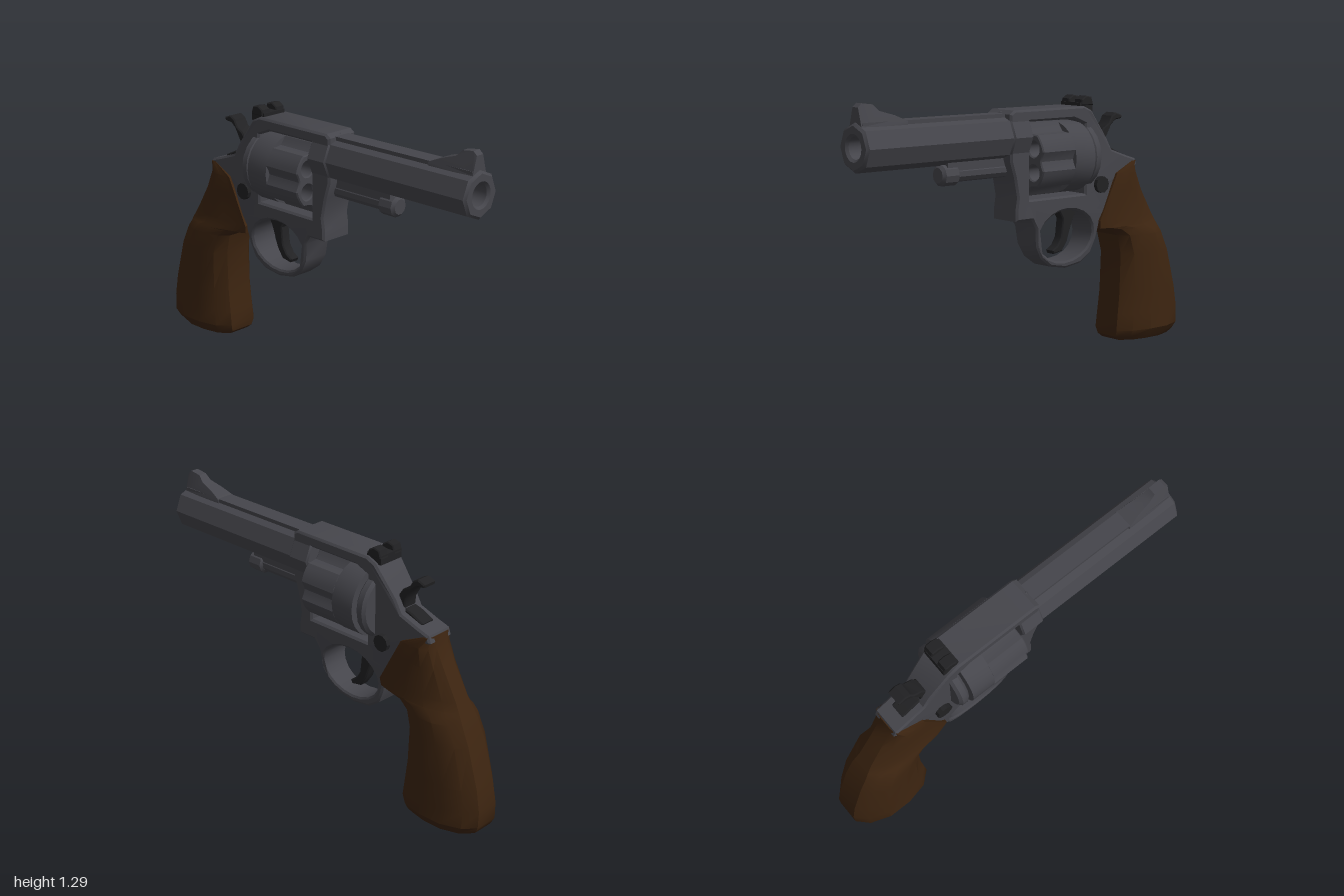
import * as THREE from 'three';
import { toCreasedNormals } from 'three/addons/utils/BufferGeometryUtils.js';

const mat = (name, color) => {
  const m = new THREE.MeshStandardMaterial({ color });
  m.name = name;
  return m;
};

export function createModel() {
  const group = new THREE.Group();
  const steel = mat('gunmetal', 0x45454b);
  const dark = mat('blackened steel', 0x212123);
  const wood = mat('dark walnut', 0x3c2410);

  const add = (name, geo, material) => {
    const mesh = new THREE.Mesh(toCreasedNormals(geo, 0.55), material);
    mesh.name = name;
    group.add(mesh);
    return mesh;
  };
  const shapeOf = (pts) => new THREE.Shape(pts.map(([a, b]) => new THREE.Vector2(a, b)));
  const circlePath = (x, y, r) => new THREE.Path().absarc(x, y, r, 0, Math.PI * 2, true);

  // Side profile in (z, y), extruded symmetrically across x
  const sideways = (shape, half, bevel, curveSegments = 10) => {
    const geo = new THREE.ExtrudeGeometry(shape, {
      depth: 2 * (half - bevel), curveSegments, bevelEnabled: bevel > 0,
      bevelSize: bevel, bevelThickness: bevel, bevelOffset: -bevel, bevelSegments: 1,
    });
    return geo.translate(0, 0, bevel - half).rotateY(-Math.PI / 2);
  };
  // Front profile in (x, y), extruded from z0 (back) to z1 (front)
  const lengthways = (shape, z0, z1, bevel) => {
    const geo = new THREE.ExtrudeGeometry(shape, {
      depth: z1 - z0 - 2 * bevel, curveSegments: 10, bevelEnabled: bevel > 0,
      bevelSize: bevel, bevelThickness: bevel, bevelOffset: -bevel, bevelSegments: 1,
    });
    return geo.translate(0, 0, z0 + bevel);
  };
  // Scale x by a rule of height and depth
  const taperX = (geo, rule) => {
    const p = geo.attributes.position;
    for (let i = 0; i < p.count; i++) p.setX(i, p.getX(i) * rule(p.getY(i), p.getZ(i)));
    return geo;
  };
  const box = (x0, x1, y0, y1, z0, z1) =>
    new THREE.BoxGeometry(x1 - x0, y1 - y0, z1 - z0)
      .translate((x0 + x1) / 2, (y0 + y1) / 2, (z0 + z1) / 2);
  const rod = (rFront, rBack, y, z0, z1, sides) =>
    new THREE.CylinderGeometry(rFront, rBack, z1 - z0, sides)
      .rotateX(Math.PI / 2).translate(0, y, (z0 + z1) / 2);
  const polygon = (y, r, sides) => shapeOf(Array.from({ length: sides }, (_, i) => {
    const a = (i / sides) * Math.PI * 2;
    return [Math.cos(a) * r, y + Math.sin(a) * r];
  }));

  // Octagonal barrel with bore and top rib
  const barrel = polygon(1.09, 0.113, 8);
  barrel.holes.push(circlePath(0, 1.09, 0.052));
  add('barrel', lengthways(barrel, 0.1, 1, 0.012), steel);
  add('borePlug', rod(0.056, 0.056, 1.09, 0.1, 0.9, 16), steel);
  add('barrelRib', box(-0.045, 0.045, 1.15, 1.203, 0.1, 0.98), steel);
  add('barrelCollar', lengthways(polygon(1.09, 0.121, 8), 0.045, 0.165, 0.008), steel);

  // Front sight, wide at its foot
  const sight = shapeOf([[0.985, 1.17], [0.985, 1.27], [0.965, 1.288], [0.905, 1.28],
    [0.875, 1.25], [0.8, 1.228], [0.735, 1.2], [0.735, 1.17]]);
  add('frontSight', taperX(sideways(sight, 0.05, 0),
    (y) => THREE.MathUtils.clamp(1 - (y - 1.2) / 0.11, 0.42, 1)), steel);

  // Frame with trigger guard, cylinder window and guard opening
  const frame = shapeOf([[0.165, 1.2], [0.14, 1.218], [-0.31, 1.218], [-0.36, 1.195],
    [-0.475, 1.05], [-0.51, 0.99], [-0.61, 0.955], [-0.675, 0.935], [-0.688, 0.9],
    [-0.6, 0.85], [-0.5, 0.68], [-0.42, 0.62], [-0.405, 0.55], [-0.375, 0.48],
    [-0.31, 0.435], [-0.21, 0.42], [-0.11, 0.438], [-0.045, 0.485], [-0.01, 0.55],
    [0, 0.64], [0.03, 0.685], [0.13, 0.685], [0.13, 0.74], [0.12, 0.8], [0.14, 0.9], [0.165, 0.98]]);
  frame.holes.push(
    new THREE.Path([[0.045, 0.785], [0.045, 1.16], [-0.24, 1.16], [-0.315, 1.13], [-0.315, 0.785]]
      .map(([a, b]) => new THREE.Vector2(a, b))),
    new THREE.Path().absellipse(-0.2, 0.585, 0.177, 0.13, 0, Math.PI * 2, true));
  add('frame', taperX(sideways(frame, 0.09, 0.01), (y, z) =>
    y < 0.69 ? THREE.MathUtils.clamp(1 - (0.69 - y) * 1.1, 0.7, 1)
      : z < -0.4 ? 0.86 : 1), steel);

  // Cylinder: fluted, chambered front and plain rear
  const cy = 0.972, R = 0.178;
  const outline = [];
  for (let i = 0; i < 48; i++) {
    const a = (i / 48) * Math.PI * 2;
    const off = Math.abs(((i + 4) % 8) - 4);
    const r = R - [0.026, 0.018, 0, 0, 0][off];
    outline.push([Math.cos(a) * r, cy + Math.sin(a) * r]);
  }
  const fluted = shapeOf(outline);
  for (let i = 0; i < 6; i++) {
    const a = (i + 0.5) * Math.PI / 3;
    fluted.holes.push(circlePath(Math.cos(a) * 0.115, cy + Math.sin(a) * 0.115, 0.038));
  }
  add('cylinderFront', lengthways(fluted, -0.18, 0.033, 0.006), steel);
  add('cylinderRear', rod(R, R, cy, -0.3, -0.174, 24), steel);
  add('cylinderAxle', rod(0.05, 0.05, cy, -0.32, 0.06, 12), steel);
  add('recoilShield', lengthways(polygon(cy, 0.167, 20), -0.365, -0.308, 0.014), steel);

  // Ejector rod below the barrel
  add('ejectorShroud', box(-0.035, 0.035, 0.94, 1.0, 0.1, 0.5), steel);
  add('ejectorRod', rod(0.04, 0.04, 0.935, 0.1, 0.44, 10), steel);
  add('ejectorTip', lengthways(polygon(0.932, 0.052, 10), 0.43, 0.533, 0.014), steel);

  // Rear sight with a notch
  add('rearSightBase', box(-0.07, 0.07, 1.19, 1.235, -0.38, -0.295), dark);
  for (const s of [-1, 1]) {
    const leaf = shapeOf([[-0.3, 1.22], [-0.305, 1.25], [-0.335, 1.267], [-0.37, 1.26], [-0.382, 1.22]]);
    add('rearSightLeaf', sideways(leaf, 0.028, 0.005).translate(s * 0.047, 0, 0), dark);
  }

  // Hammer and trigger
  const hammer = shapeOf([[-0.44, 1.03], [-0.487, 1.098], [-0.525, 1.12], [-0.545, 1.155],
    [-0.575, 1.17], [-0.615, 1.155], [-0.612, 1.14], [-0.57, 1.135], [-0.54, 1.11], [-0.505, 1.05],
    [-0.5, 1.005], [-0.54, 0.995], [-0.61, 0.962], [-0.6, 0.92], [-0.44, 0.95]]);
  add('hammer', sideways(hammer, 0.04, 0.006), dark);
  const trigger = shapeOf([[-0.18, 0.74], [-0.195, 0.71], [-0.225, 0.66], [-0.215, 0.57],
    [-0.19, 0.53], [-0.155, 0.508], [-0.165, 0.49], [-0.22, 0.5], [-0.255, 0.55], [-0.272, 0.6],
    [-0.295, 0.66], [-0.325, 0.71], [-0.33, 0.74]]);
  add('trigger', sideways(trigger, 0.028, 0.006), dark);

  // Cross pin through the frame
  add('framePin', new THREE.CylinderGeometry(0.042, 0.042, 0.216, 10)
    .rotateZ(Math.PI / 2).translate(0, 0.823, -0.417), dark);

  // Grip lofted from level sections: y, front z, back z, half width, front bluntness
  const levels = [
    [0.925, -0.65, -0.683, 0.08, 1], [0.87, -0.53, -0.698, 0.098, 1],
    [0.78, -0.483, -0.745, 0.1, 1], [0.64, -0.41, -0.825, 0.108, 0.9],
    [0.6, -0.415, -0.848, 0.12, 0.6], [0.585, -0.5, -0.857, 0.126, 0.3],
    [0.55, -0.555, -0.875, 0.138, 0.1], [0.45, -0.58, -0.92, 0.145, 0],
    [0.25, -0.573, -0.98, 0.148, 0], [0.14, -0.56, -1, 0.152, 0],
    [0.055, -0.55, -0.998, 0.156, 0], [0.02, -0.557, -0.98, 0.135, 0], [0, -0.58, -0.95, 0.12, 0]];
  const half = [[0, 0.5], [0.14, 0.85], [0.38, 1], [0.65, 1], [0.88, 0.76], [1, 0.4]];
  const n = half.length * 2;
  const pos = [], idx = [];
  for (const [y, zf, zb, w, blunt] of levels) {
    const ring = half.map(([u, k], i) =>
      [w * (i < 2 ? THREE.MathUtils.lerp(k, 0.97, blunt) : k), y, zf + (zb - zf) * u]);
    const mirrored = ring.map(([x, py, z]) => [-x, py, z]).reverse();
    pos.push(...ring.flat(), ...mirrored.flat());
  }
  for (let l = 0; l < levels.length - 1; l++) {
    for (let j = 0; j < n; j++) {
      const k = (j + 1) % n, t = l * n, b = t + n;
      idx.push(b + j, b + k, t + k, b + j, t + k, t + j);
    }
  }
  const last = (levels.length - 1) * n;
  for (let j = 1; j < n - 1; j++) idx.push(0, j, j + 1, last, last + j + 1, last + j);
  const grip = new THREE.BufferGeometry();
  grip.setAttribute('position', new THREE.Float32BufferAttribute(pos, 3));
  grip.setIndex(idx);
  add('grip', grip, wood);

  return group;
}
